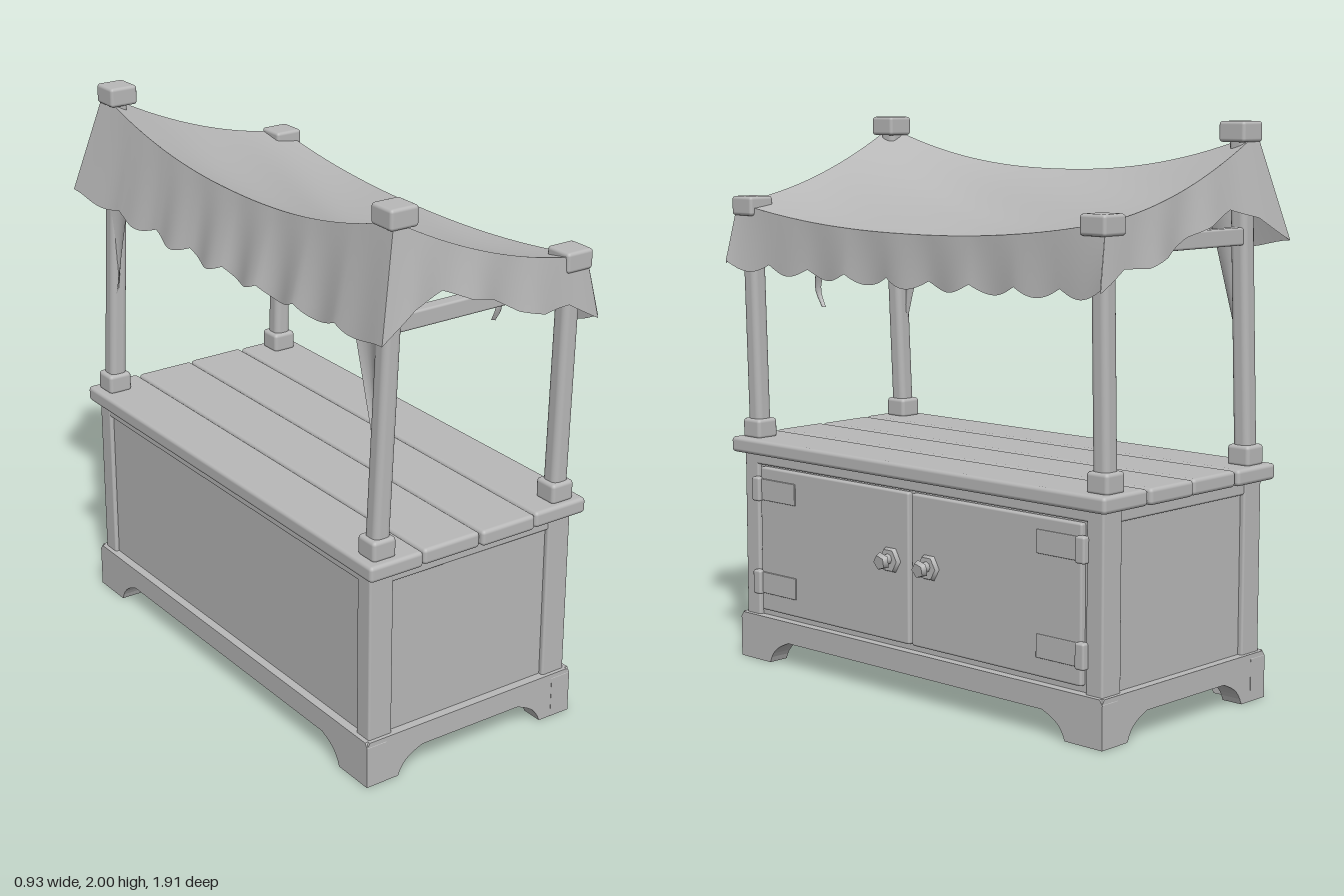
import * as THREE from 'three';
import { RoundedBoxGeometry } from 'three/addons/geometries/RoundedBoxGeometry.js';

const lerp = THREE.MathUtils.lerp;

export function createModel() {
  const group = new THREE.Group();
  group.name = 'marketStall';
  const clay = new THREE.MeshStandardMaterial({ color: 0xb8b8b8, side: THREE.DoubleSide });
  clay.name = 'plain grey';

  const add = (name, geometry, x = 0, y = 0, z = 0) => {
    const mesh = new THREE.Mesh(geometry, clay);
    mesh.name = name;
    mesh.position.set(x, y, z);
    group.add(mesh);
    return mesh;
  };
  // Box given by its limits on each axis
  const block = (name, x0, x1, y0, y1, z0, z1, r = 0.008) =>
    add(name, new RoundedBoxGeometry(x1 - x0, y1 - y0, z1 - z0, 2, r),
      (x0 + x1) / 2, (y0 + y1) / 2, (z0 + z1) / 2);
  // Cloth sheet from a function of u, v in 0..1
  const sheet = (name, nu, nv, fn) => {
    const geo = new THREE.PlaneGeometry(1, 1, nu, nv);
    const pos = geo.attributes.position;
    for (let i = 0; i < pos.count; i++) {
      pos.setXYZ(i, ...fn(pos.getX(i) + 0.5, 0.5 - pos.getY(i)));
    }
    geo.computeVertexNormals();
    return add(name, geo);
  };

  // Plinth boards with bracket feet
  const plinthBoard = (half, foot) => {
    const s = new THREE.Shape();
    s.moveTo(-half, 0);
    s.lineTo(-half + foot - 0.03, 0);
    s.bezierCurveTo(-half + foot - 0.01, 0.06, -half + foot + 0.03, 0.07, -half + foot + 0.07, 0.088);
    s.lineTo(half - foot - 0.07, 0.088);
    s.bezierCurveTo(half - foot - 0.03, 0.07, half - foot + 0.01, 0.06, half - foot + 0.03, 0);
    s.lineTo(half, 0);
    s.lineTo(half, 0.15);
    s.lineTo(half - 0.012, 0.168);
    s.lineTo(-half + 0.012, 0.168);
    s.lineTo(-half, 0.15);
    return new THREE.ExtrudeGeometry(s, { depth: 0.08, bevelEnabled: false, curveSegments: 8 });
  };
  add('endPlinth', plinthBoard(0.437, 0.16), -0.02, 0, 0.805);
  add('endPlinth', plinthBoard(0.437, 0.16), -0.02, 0, -0.885);
  add('frontPlinth', plinthBoard(0.886, 0.19), 0.337, 0, 0).rotation.y = Math.PI / 2;
  add('backPlinth', plinthBoard(0.886, 0.19), -0.457, 0, 0).rotation.y = Math.PI / 2;
  block('floor', -0.44, 0.4, 0.09, 0.16, -0.87, 0.87);

  // Cabinet carcass, corner stiles and rails around the recessed panels
  block('carcass', -0.425, 0.383, 0.1, 0.79, -0.853, 0.853);
  for (const sz of [-1, 1]) {
    for (const [x0, x1] of [[-0.44, -0.345], [0.305, 0.4]]) {
      block('cornerStile', x0, x1, 0.15, 0.78, sz * 0.835 - 0.036, sz * 0.835 + 0.036);
    }
    block('endRail', -0.36, 0.32, 0.73, 0.78, sz * 0.852 - 0.015, sz * 0.852 + 0.015);
  }
  block('frontRail', 0.36, 0.4, 0.735, 0.78, -0.82, 0.82);
  block('backRail', -0.438, -0.4, 0.735, 0.78, -0.82, 0.82);

  // Doors with hinges and knobs
  for (const s of [-1, 1]) {
    block('door', 0.37, 0.404, 0.19, 0.728, s * 0.395 - 0.388, s * 0.395 + 0.388);
    for (const y of [0.295, 0.645]) {
      block('hinge', 0.39, 0.424, y - 0.045, y + 0.045, s * 0.79 - 0.02, s * 0.79 + 0.02);
      block('hingeStrap', 0.39, 0.409, y - 0.04, y + 0.04, s * 0.69 - 0.1, s * 0.69 + 0.1, 0.003);
    }
    const plate = add('knobPlate', new THREE.CylinderGeometry(0.042, 0.05, 0.018, 6), 0.41, 0.48, s * 0.094);
    plate.rotation.z = -Math.PI / 2;
    const stem = add('knobStem', new THREE.CylinderGeometry(0.016, 0.02, 0.04, 8), 0.43, 0.485, s * 0.094);
    stem.rotation.z = -Math.PI / 2;
    const knob = add('knob', new THREE.CylinderGeometry(0.027, 0.033, 0.02, 5), 0.453, 0.48, s * 0.094);
    knob.rotation.z = -Math.PI / 2 - 0.15;
  }

  // Counter planks
  const seams = [-0.47, -0.252, -0.016, 0.214, 0.44];
  for (let i = 0; i < 4; i++) {
    const end = 0.912 - 0.006 * (i % 2);
    block('counterPlank', seams[i] + 0.003, seams[i + 1] - 0.003, 0.775, 0.832, -end, end, 0.014);
  }

  // Posts with collars and square caps, plus end beams
  for (const sz of [-1, 1]) {
    const z = sz * 0.838;
    for (const [x, capX, top] of [[-0.39, -0.335, 2], [0.353, 0.375, 1.72]]) {
      block('postCollar', x - 0.046, x + 0.046, 0.825, 0.9, z - 0.046, z + 0.046, 0.014);
      const post = new RoundedBoxGeometry(0.066, top - 0.84, 0.066, 3, 0.022);
      const pos = post.attributes.position;
      for (let i = 0; i < pos.count; i++) {
        const t = pos.getY(i) / (top - 0.84) + 0.5;
        pos.setX(i, pos.getX(i) + (capX - x) * t * t);
      }
      add('post', post, x, (top + 0.82) / 2, z);
      block('postCap', capX - 0.054, capX + 0.054, top - 0.07, top, z - 0.054, z + 0.054, 0.012);
    }
    block('endBeam', -0.39, 0.36, 1.585, 1.645, z - 0.025, z + 0.025);
  }

  // Canopy: sagging sheet from the tall back posts to the short front posts
  const backX = -0.37, frontX = 0.41, halfZ = 0.88;
  const height = (u, z) => {
    const s = Math.pow(Math.abs(z) / halfZ, 2.2);
    return lerp(lerp(1.82, 1.62, u), lerp(1.96, 1.695, u), s)
      - 0.18 * u * (1 - u) * (0.5 + 0.5 * s);
  };
  // Diagonal folds fading out toward every edge
  const folds = (u, z) => 0.014 * Math.sin(9 * u + 6 * z) * 4 * u * (1 - u) * (1 - (z / halfZ) ** 2);
  sheet('canopyTop', 32, 56, (u, v) => {
    const z = lerp(-halfZ, halfZ, v);
    return [lerp(backX, frontX, u), height(u, z) + folds(u, z), z];
  });

  // Scalloped front valance
  sheet('frontValance', 108, 8, (u, v) => {
    const t = 2 * u - 1, z = halfZ * t;
    const hem = 1.485 - 0.02 * (1 - t * t) - 0.032 * Math.abs(Math.sin(u * Math.PI * 9));
    const x = frontX + v * (0.005 + 0.04 * t ** 6) + 0.01 * v * Math.sin(u * 40) * (1 - t * t);
    return [x, lerp(height(1, z), hem, v), z * (1 + 0.02 * v)];
  });

  // Back valance, flaring out to the corners
  sheet('backValance', 96, 8, (u, v) => {
    const t = 2 * u - 1, z = halfZ * t;
    const hem = 1.57 + 0.03 * t * t - 0.03 * Math.abs(Math.sin(u * Math.PI * 8)) * (1 - t ** 8);
    const x = backX - v * (0.06 + 0.035 * t ** 4 + 0.014 * Math.sin(u * 44) * (1 - t * t));
    return [x, lerp(height(0, z), hem, v), z + 0.075 * v * t ** 5];
  });

  // End valances with an uneven hem
  const hems = [1.6, 1.68, 1.71, 1.66, 1.63, 1.57, 1.54, 1.545, 1.475];
  for (const s of [-1, 1]) {
    sheet('endValance', 40, 8, (u, v) => {
      const k = Math.min(Math.floor(u * 8), 7);
      const hem = lerp(hems[k], hems[k + 1], u * 8 - k);
      const x = lerp(backX, frontX, u) - 0.095 * v * (1 - u) ** 5 + 0.045 * v * u ** 6;
      const z = halfZ + v * (0.018 + 0.057 * (1 - u) ** 5) + 0.012 * v * Math.sin(u * 20) * u * (1 - u) * 4;
      return [x, lerp(height(u, s * halfZ), hem, v), s * z];
    });
    // Cloth gusset hanging down the inside of the tall post
    sheet('cornerGusset', 6, 8, (u, v) => [
      -0.39 + 0.015 * Math.sin(u * 3), lerp(1.72, 1.17, v), s * (0.82 - 0.16 * u * (1 - v)),
    ]);
  }

  // Torn rag dangling under the front edge
  const ragPath = new THREE.CatmullRomCurve3([
    [0.38, 1.56, 0.46], [0.385, 1.47, 0.465], [0.38, 1.4, 0.48], [0.38, 1.34, 0.45],
  ].map(p => new THREE.Vector3(...p)));
  sheet('hangingRag', 4, 10, (u, v) => {
    const p = ragPath.getPoint(v);
    return [p.x + 0.01 * Math.sin(u * 3), p.y, p.z + (u - 0.5) * 0.055 * (1 - 0.7 * v)];
  });

  return group;
}
